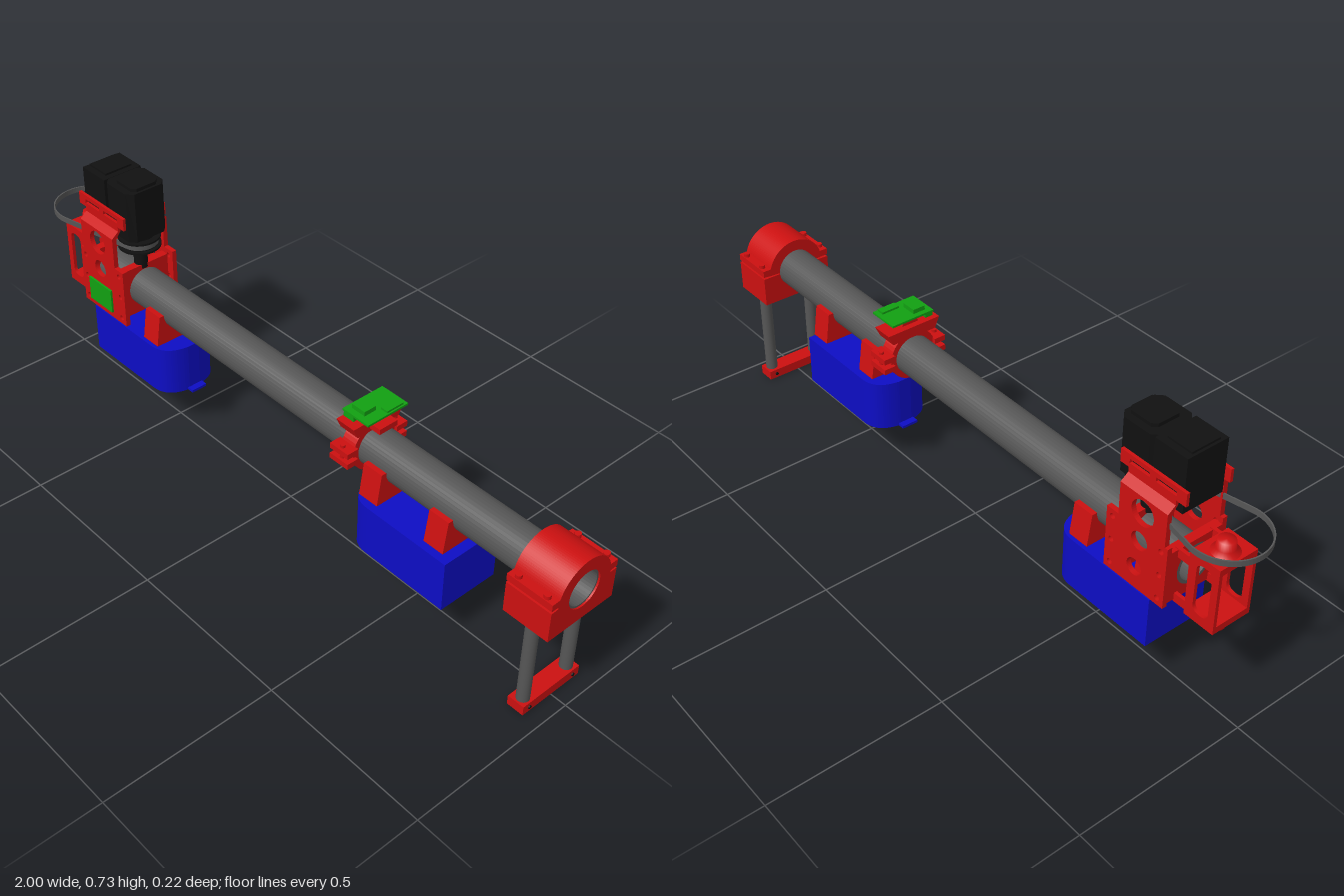
import * as THREE from 'three';

const mat = (color) => new THREE.MeshStandardMaterial({ color, side: THREE.DoubleSide });
const RED = mat(0xcc1010), BLUE = mat(0x0d0dc4), BLACK = mat(0x111111), GREEN = mat(0x12a012), GREY = mat(0x565656);
const AXIS = 0.39; // height of the main tube

export function createModel() {
  const root = new THREE.Group();
  const add = (name, geo, material, x = 0, y = 0, z = 0, parent = root) => {
    const m = new THREE.Mesh(geo, material);
    m.name = name;
    m.position.set(x, y, z);
    parent.add(m);
    return m;
  };
  // Box given by its limits on each axis
  const box = (name, material, x0, x1, y0, y1, z0, z1) =>
    add(name, new THREE.BoxGeometry(x1 - x0, y1 - y0, z1 - z0), material, (x0 + x1) / 2, (y0 + y1) / 2, (z0 + z1) / 2);
  const cyl = (name, material, r, y0, y1, x, z, n = 24) =>
    add(name, new THREE.CylinderGeometry(r, r, y1 - y0, n), material, x, (y0 + y1) / 2, z);
  const poly = (pts) => new THREE.Shape(pts.map(([a, b]) => new THREE.Vector2(a, b)));
  const rect = (a0, a1, b0, b1) => poly([[a0, b0], [a1, b0], [a1, b1], [a0, b1]]);
  const hole = (shape, x, y, r) => {
    const p = new THREE.Path();
    p.absarc(x, y, r, 0, Math.PI * 2, true);
    shape.holes.push(p);
  };
  const extrude = (shape, depth) => new THREE.ExtrudeGeometry(shape, { depth, bevelEnabled: false, curveSegments: 20 });
  // Cross-section in (z, y) swept along x
  const alongX = (name, material, shape, x0, x1) =>
    add(name, extrude(shape, x1 - x0).rotateY(Math.PI / 2), material, x0);
  // Outline in (x, z) swept upward
  const alongY = (name, material, shape, y0, y1) =>
    add(name, extrude(shape, y1 - y0).rotateX(-Math.PI / 2), material, 0, y0);
  // Outline in (x, y) swept along z
  const alongZ = (name, material, shape, z0, z1) => add(name, extrude(shape, z1 - z0), material, 0, 0, z0);

  // Hollow main tube
  const ring = new THREE.Shape().absarc(0, AXIS, 0.057, 0, Math.PI * 2, false);
  hole(ring, 0, AXIS, 0.048);
  alongX('mainTube', GREY, ring, -0.81, 0.995);

  // Split clamp at the foot end: square lower half, arched upper half with ears
  const lower = new THREE.Shape();
  lower.moveTo(-0.112, 0.298).lineTo(0.112, 0.298).lineTo(0.112, 0.387).lineTo(0.057, 0.387);
  lower.absarc(0, AXIS, 0.057, 0, Math.PI, true);
  lower.lineTo(-0.112, 0.387);
  alongX('clampLower', RED, lower, 0.865, 1);
  const upper = new THREE.Shape();
  upper.moveTo(0.112, 0.394).lineTo(0.112, 0.414).lineTo(0.086, 0.414);
  upper.absarc(0, AXIS, 0.09, 0.27, Math.PI - 0.27, false);
  upper.lineTo(-0.112, 0.414).lineTo(-0.112, 0.394).lineTo(-0.057, 0.394);
  upper.absarc(0, AXIS, 0.057, Math.PI, 0, true);
  alongX('clampUpper', RED, upper, 0.865, 1);
  const lip = new THREE.Shape().absarc(0, AXIS, 0.09, 0, Math.PI * 2, false);
  hole(lip, 0, AXIS, 0.053);
  alongX('clampRing', RED, lip, 0.872, 1);

  // Legs, clamp bolts and foot bar
  for (const s of [-1, 1]) {
    cyl('leg', GREY, 0.0175, 0.02, 0.31, 0.93, s * 0.078);
    for (const x of [0.89, 0.975]) cyl('clampBolt', RED, 0.009, 0.41, 0.424, x, s * 0.101, 12);
    const screw = add('footScrew', new THREE.CylinderGeometry(0.005, 0.005, 0.056, 10), BLACK, 0.928, 0.014, s * 0.078);
    screw.rotation.z = Math.PI / 2;
  }
  box('footBar', RED, 0.903, 0.953, 0, 0.028, -0.101, 0.101);

  // Hanging bins, square at one end and rounded at the other, with saddles on the tube
  const bin = (flatX, dir, y0, y1, saddles) => {
    const h = 0.094, r = 0.075, end = flatX + dir * 0.345;
    const s = new THREE.Shape();
    s.moveTo(flatX, -h).lineTo(end - dir * r, -h);
    s.quadraticCurveTo(end - dir * 0.01, -h, end, -h + r);
    s.lineTo(end, h - r);
    s.quadraticCurveTo(end - dir * 0.01, h, end - dir * r, h);
    s.lineTo(flatX, h);
    alongY('bin', BLUE, s, y0, y1);
    box('binTab', BLUE, Math.min(end - dir * 0.02, end + dir * 0.02), Math.max(end - dir * 0.02, end + dir * 0.02), y0, y0 + 0.008, -0.025, 0.025);
    const sad = new THREE.Shape();
    sad.moveTo(-0.085, 0.297).lineTo(0.085, 0.297).lineTo(0.072, AXIS).lineTo(0.057, AXIS);
    sad.absarc(0, AXIS, 0.057, 0, Math.PI, true);
    sad.lineTo(-0.072, AXIS);
    for (const x of saddles) {
      alongX('binSaddle', RED, sad, x - 0.032, x + 0.032);
      cyl('saddleScrew', RED, 0.01, y1 - 0.002, 0.3, x, 0, 12);
    }
  };
  bin(0.665, -1, 0.129, 0.28, [0.388, 0.615]);
  bin(-0.767, 1, 0.145, 0.294, [-0.508, -0.73]);

  // Sensor clamp with its board
  const collar = new THREE.Shape().absarc(0, AXIS, 0.074, 0, Math.PI * 2, false);
  hole(collar, 0, AXIS, 0.057);
  alongX('sensorCollar', RED, collar, 0.275, 0.32);
  for (const s of [-1, 1]) {
    box('sensorEar', RED, 0.265, 0.33, 0.4, 0.416, s * 0.085 - 0.018, s * 0.085 + 0.018);
    box('sensorEar', RED, 0.265, 0.33, 0.368, 0.384, s * 0.085 - 0.018, s * 0.085 + 0.018);
    cyl('sensorBolt', RED, 0.007, 0.36, 0.424, 0.298, s * 0.09, 10);
  }
  alongX('sensorShelf', RED, poly([[-0.07, 0.452], [0.07, 0.452], [0.085, 0.484], [-0.085, 0.484]]), 0.267, 0.33);
  box('sensorArm', RED, 0.33, 0.365, 0.462, 0.478, -0.03, 0.03);
  alongX('sensorPost', RED, poly([[-0.028, 0.482], [0.028, 0.482], [0.016, 0.508], [-0.016, 0.508]]), 0.285, 0.33);
  box('sensorBoard', GREEN, 0.27, 0.362, 0.504, 0.51, -0.068, 0.068);
  box('sensorChip', GREEN, 0.285, 0.33, 0.51, 0.523, 0.012, 0.05);
  box('sensorPlug', GREEN, 0.275, 0.31, 0.49, 0.506, 0.045, 0.068);
  box('sensorPins', GREEN, 0.335, 0.358, 0.508, 0.516, -0.055, 0);

  // Drive bracket: mirrored pierced plates that step inward towards the motor
  for (const s of [-1, 1]) {
    const za = s > 0 ? 0.081 : -0.095, plate = rect(-0.81, -0.61, 0.3, 0.48);
    for (const x of [-0.79, -0.63]) for (const y of [0.32, 0.39, 0.46]) hole(plate, x, y, 0.008);
    hole(plate, -0.72, 0.445, 0.026);
    hole(plate, -0.71, 0.36, 0.024);
    alongZ('drivePlate', RED, plate, za, za + 0.014);
    const neck = rect(-0.8, -0.648, 0.48, 0.575);
    hole(neck, -0.724, 0.53, 0.036);
    alongZ('motorArm', RED, neck, za, za + 0.014);
    alongX('motorArmStep', RED, poly([[-s * 0.095, 0.575], [-s * 0.081, 0.57], [-s * 0.064, 0.592], [-s * 0.064, 0.61], [-s * 0.073, 0.61], [-s * 0.073, 0.592]]), -0.8, -0.648);
    const bar = rect(-0.83, -0.62, 0.606, 0.643);
    bar.holes.push(rect(-0.8, -0.735, 0.618, 0.63), rect(-0.715, -0.65, 0.618, 0.63));
    const zb = s > 0 ? 0.064 : -0.073;
    alongZ('motorBar', RED, bar, zb, zb + 0.009);
  }
  const block = rect(-0.082, 0.082, 0.31, 0.462);
  hole(block, 0, AXIS, 0.057);
  alongX('driveClamp', RED, block, -0.81, -0.785);
  alongX('driveClamp', RED, block, -0.66, -0.635);
  box('controlBoard', GREEN, -0.775, -0.67, 0.32, 0.394, 0.095, 0.101);

  // Motor with chamfered corners and a stepped rear block
  const chamfered = (x0, x1, h, c) => poly([[x0, -h + c], [x0 + c, -h], [x1 - c, -h], [x1, -h + c], [x1, h - c], [x1 - c, h], [x0 + c, h], [x0, h - c]]);
  alongY('motorBody', BLACK, chamfered(-0.715, -0.595, 0.064, 0.018), 0.57, 0.723);
  alongY('motorCap', BLACK, chamfered(-0.69, -0.602, 0.044, 0.012), 0.72, 0.733);
  box('motorRearBlock', BLACK, -0.813, -0.712, 0.57, 0.724, -0.063, 0.063);
  box('motorRearCap', BLACK, -0.806, -0.73, 0.72, 0.73, -0.044, 0.044);
  cyl('motorBoss', BLACK, 0.044, 0.556, 0.572, -0.652, 0);
  cyl('motorShaft', BLACK, 0.02, 0.45, 0.56, -0.652, 0);
  cyl('pulley', BLACK, 0.052, 0.526, 0.552, -0.652, 0, 32);
  for (const y of [0.521, 0.55]) cyl('pulleyFlange', BLACK, 0.062, y, y + 0.006, -0.652, 0, 32);

  // Thin belt wrapping the pulley and a larger outer loop
  const beltLoop = (Klass, grow) => {
    const c0 = -0.895, c1 = -0.652, R = 0.104 + grow, r = 0.054 + grow;
    const a = Math.acos((R - r) / (c1 - c0));
    const p = new Klass();
    p.absarc(c0, 0, R, a, Math.PI * 2 - a, false);
    p.absarc(c1, 0, r, -a, a, false);
    p.closePath();
    return p;
  };
  const belt = beltLoop(THREE.Shape, 0);
  belt.holes.push(beltLoop(THREE.Path, -0.004));
  alongY('belt', GREY, belt, 0.531, 0.547);

  // Open end frame with slotted sides and pivot knobs
  for (const z of [-0.06, 0.05]) {
    const side = rect(-0.937, -0.845, 0.293, 0.487), slot = new THREE.Path();
    slot.moveTo(-0.917, 0.34).quadraticCurveTo(-0.917, 0.32, -0.893, 0.32).quadraticCurveTo(-0.869, 0.32, -0.869, 0.34);
    slot.lineTo(-0.869, 0.445).quadraticCurveTo(-0.869, 0.465, -0.893, 0.465).quadraticCurveTo(-0.917, 0.465, -0.917, 0.445);
    side.holes.push(slot);
    alongZ('endFrameSide', RED, side, z, z + 0.01);
    box('endFrameLink', RED, -0.85, -0.8, 0.305, 0.33, z, z + 0.01);
    box('endFrameLink', RED, -0.85, -0.8, 0.44, 0.465, z, z + 0.01);
  }
  box('endFrameTop', RED, -0.937, -0.845, 0.468, 0.487, -0.06, 0.06);
  box('endFrameBottom', RED, -0.937, -0.845, 0.293, 0.312, -0.06, 0.06);
  for (const [y, d] of [[0.487, 1], [0.293, -1]]) {
    const knob = new THREE.LatheGeometry([[0.036, 0], [0.025, 0.012], [0.022, 0.034], [0, 0.034]].map(([r, h]) => new THREE.Vector2(r, h)), 24);
    if (d < 0) knob.rotateX(Math.PI);
    add('pivotKnob', knob, RED, -0.895, y, 0);
  }
  return root;
}
